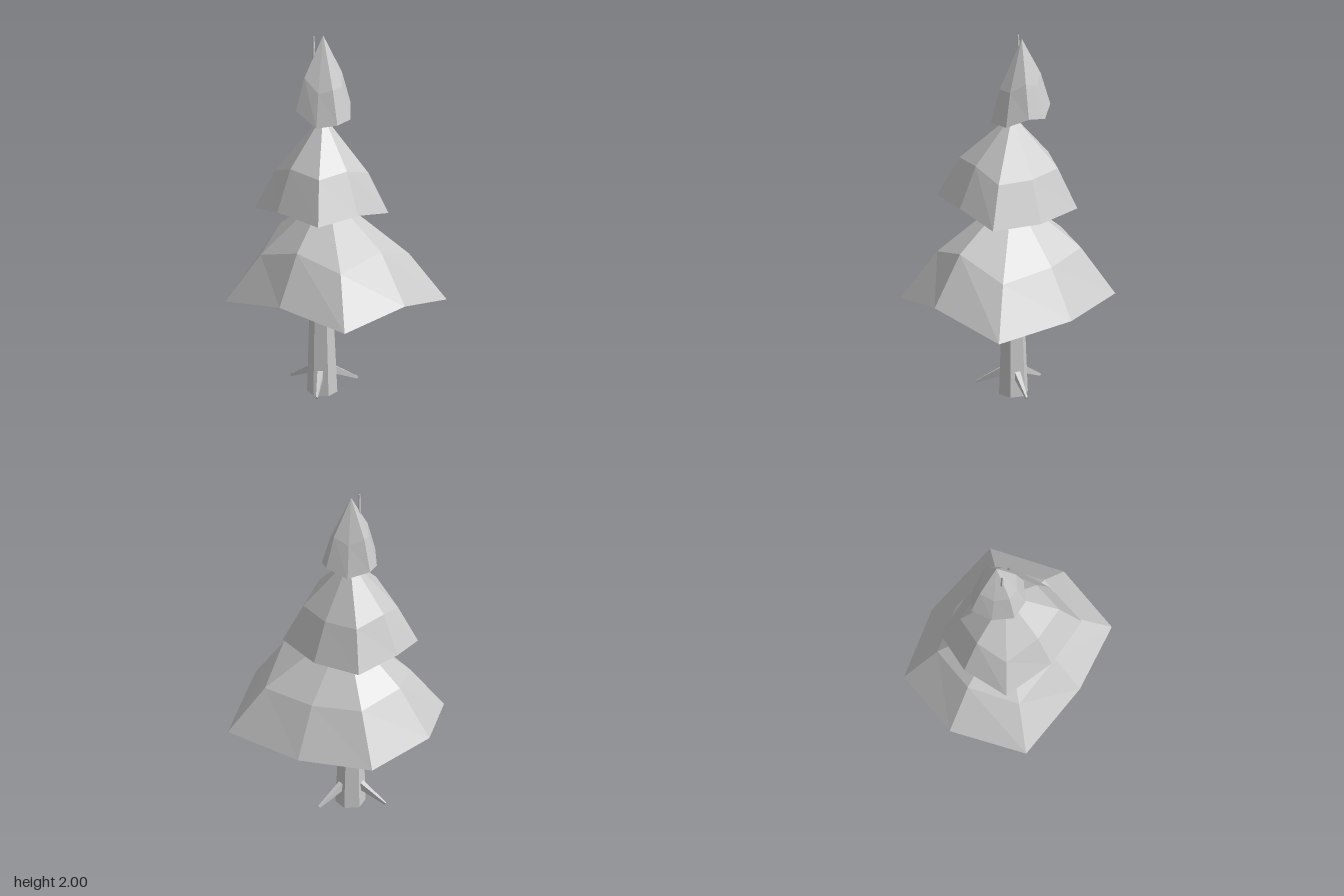
import * as THREE from 'three';

const grey = new THREE.MeshStandardMaterial({ color: 0xcccccc, flatShading: true });
grey.name = 'grey';

// Closed solid from a top point, a list of rings (clockwise from above) and a bottom point
function ringSolid(name, top, rings, bottom) {
  const pos = [];
  const tri = (...points) => points.forEach((p) => pos.push(...p));
  const n = rings[0].length;
  const last = rings[rings.length - 1];
  for (let i = 0; i < n; i++) {
    const j = (i + 1) % n;
    tri(top, rings[0][j], rings[0][i]);
    for (let k = 0; k < rings.length - 1; k++) {
      const [up, low] = [rings[k], rings[k + 1]];
      tri(up[j], low[j], low[i]);
      tri(up[j], low[i], up[i]);
    }
    tri(bottom, last[i], last[j]);
  }
  const geometry = new THREE.BufferGeometry();
  geometry.setAttribute('position', new THREE.Float32BufferAttribute(pos, 3));
  geometry.computeVertexNormals();
  const mesh = new THREE.Mesh(geometry, grey);
  mesh.name = name;
  return mesh;
}

// Foliage tier: jagged rim, a shoulder ring drawn in towards the axis, and an apex
function tier({ name, apex, axis, base, shrink, rise, rim }) {
  const shoulder = rim.map(([x, y, z]) => [
    axis[0] + (x - axis[0]) * shrink,
    y + rise,
    axis[1] + (z - axis[1]) * shrink,
  ]);
  return ringSolid(name, apex, [shoulder, rim], [axis[0], base, axis[1]]);
}

const tiers = [
  {
    name: 'lowerFoliage', apex: [-0.02, 1.14, 0.02], axis: [0, 0], base: 0.6, shrink: 0.67, rise: 0.26,
    rim: [
      [-0.11, 0.55, -0.44], [0.355, 0.525, -0.484], [0.52, 0.63, -0.095], [0.506, 0.56, 0.285],
      [0.13, 0.62, 0.436], [-0.3, 0.525, 0.478], [-0.523, 0.6, 0.129], [-0.48, 0.575, -0.263],
    ],
  },
  {
    name: 'middleFoliage', apex: [-0.03, 1.57, 0.04], axis: [-0.035, 0.05], base: 1.08, shrink: 0.7, rise: 0.22,
    rim: [
      [-0.3, 1.06, -0.176], [-0.04, 1.045, -0.243], [0.227, 1.04, -0.2], [0.288, 1.1, 0.04],
      [0.28, 1.09, 0.294], [0, 1.1, 0.357], [-0.277, 1.02, 0.302], [-0.355, 1.09, 0.064],
    ],
  },
  {
    name: 'upperFoliage', apex: [-0.07, 2, 0.01], axis: [-0.06, 0.02], base: 1.58, shrink: 0.69, rise: 0.18,
    rim: [
      [-0.148, 1.57, -0.1], [-0.028, 1.6, -0.137], [0.07, 1.55, -0.067], [0.1, 1.55, 0.04],
      [0.03, 1.53, 0.126], [-0.092, 1.6, 0.17], [-0.18, 1.575, 0.09], [-0.23, 1.61, -0.014],
    ],
  },
];

// Six-sided trunk cross-section
function trunkRing([x, y, z, r]) {
  return Array.from({ length: 6 }, (_, i) => {
    const a = ((11 + i * 60) * Math.PI) / 180;
    return [x + r * Math.cos(a), y, z + r * Math.sin(a)];
  });
}

// Thin tapering stub from the trunk to its tip
function stub(tip) {
  const root = new THREE.Vector3(-0.037, 0.15, 0.042);
  const end = new THREE.Vector3(...tip);
  const geometry = new THREE.CylinderGeometry(0.008, 0.034, root.distanceTo(end), 4);
  geometry.rotateY(Math.PI / 4);
  geometry.scale(0.8, 1, 1.1);
  const mesh = new THREE.Mesh(geometry, grey);
  const along = end.clone().sub(root).normalize();
  const side = new THREE.Vector3(0, 1, 0).cross(along).normalize();
  const across = side.clone().cross(along);
  mesh.quaternion.setFromRotationMatrix(new THREE.Matrix4().makeBasis(side, along, across));
  mesh.position.copy(root).add(end).multiplyScalar(0.5);
  mesh.name = 'branchStub';
  return mesh;
}

export function createModel() {
  const tree = new THREE.Group();
  tree.name = 'tree';

  // Trunk leans slightly and tapers to a twig beside the peak
  const sections = [
    [-0.08, 2, 0.065, 0.005],
    [-0.08, 1.87, 0.063, 0.009],
    [-0.055, 1.5, 0.055, 0.022],
    [-0.037, 0.6, 0.046, 0.058],
    [-0.037, 0, 0.04, 0.08],
  ];
  tree.add(ringSolid('trunk', [-0.08, 2, 0.065], sections.map(trunkRing), [-0.037, 0, 0.04]));

  for (const spec of tiers) tree.add(tier(spec));

  // Broken branches near the ground
  for (const tip of [[0.11, 0.042, 0.18], [-0.233, 0.042, 0.1], [0, 0.042, -0.163]]) tree.add(stub(tip));

  return tree;
}
